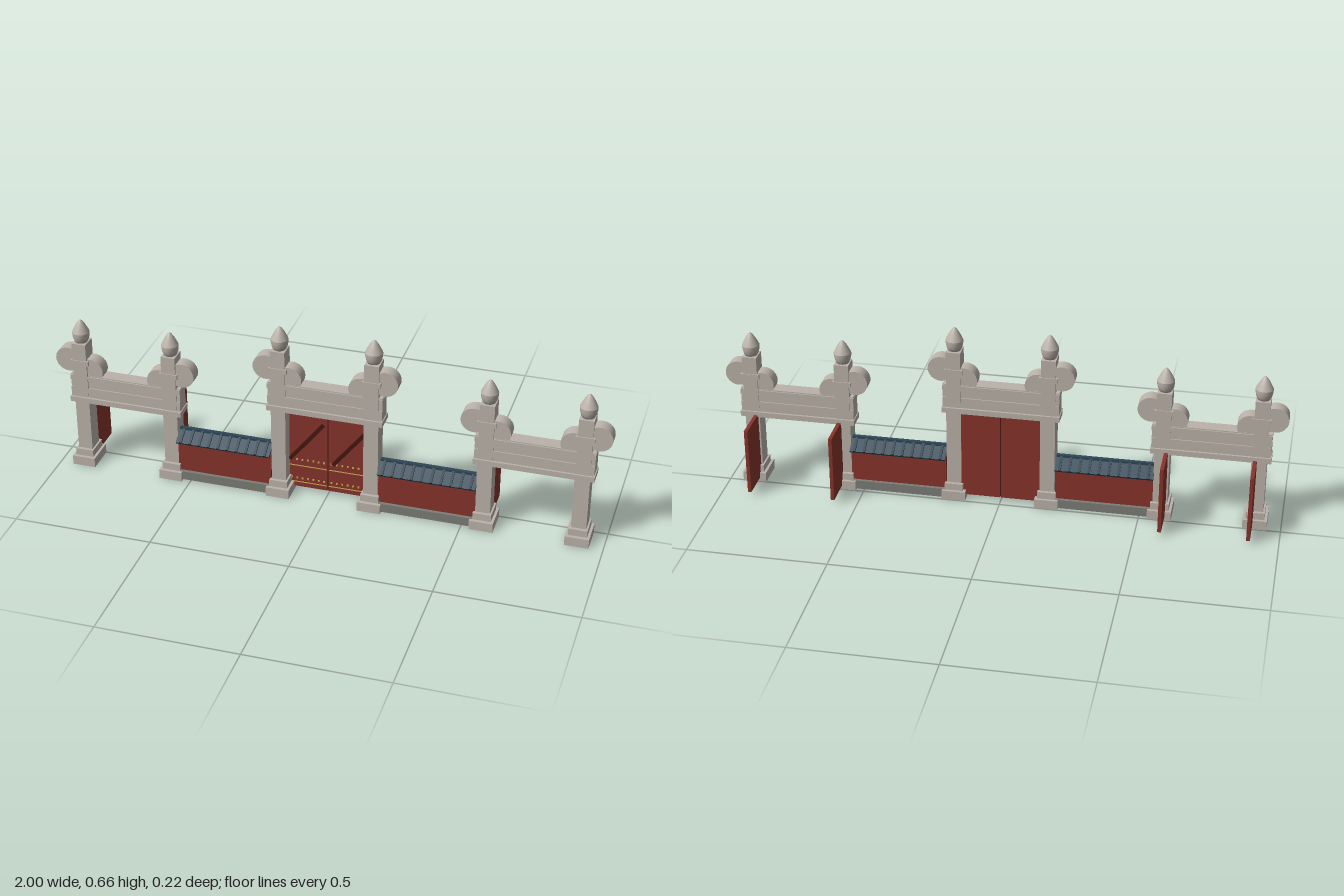
import * as THREE from 'three';

const mat = (name, color, opts = {}) => {
  const m = new THREE.MeshStandardMaterial({ color, ...opts });
  m.name = name;
  return m;
};

const Z = 0.053; // depth of the gate line

export function createModel() {
  const stone = mat('pale stone', 0xbbb3aa);
  const plinthStone = mat('dark stone', 0x7c7d76);
  const red = mat('red paint', 0x87332b);
  const darkWood = mat('dark wood', 0x451712);
  const gold = mat('gold', 0xc9a552);
  const tile = mat('blue roof tile', 0x2c4656);
  const tileDark = mat('dark roof tile', 0x1f3340);

  const add = (parent, name, geo, material, x, y, z) => {
    const m = new THREE.Mesh(geo, material);
    m.name = name;
    m.position.set(x, y, z);
    parent.add(m);
    return m;
  };
  // box given by centre x, y range, depth centre and size
  const box = (parent, name, material, x, y0, y1, w, d, z = Z) =>
    add(parent, name, new THREE.BoxGeometry(w, y1 - y0, d), material, x, (y0 + y1) / 2, z);
  const group = (parent, name, x = 0) => {
    const g = new THREE.Group();
    g.name = name;
    g.position.x = x;
    parent.add(g);
    return g;
  };

  const lathe = (pts) => new THREE.LatheGeometry(pts.map(p => new THREE.Vector2(...p)), 24);
  const bulb = lathe([[0, 0], [0.022, 0], [0.0275, 0.012], [0.0305, 0.026], [0.031, 0.038]]);
  const tip = lathe([[0.031, 0.038], [0.024, 0.053], [0.016, 0.068], [0.008, 0.08], [0, 0.087]]);
  const disc = new THREE.CylinderGeometry(0.046, 0.046, 0.048, 32).rotateX(Math.PI / 2);

  // One post with its crown; side is the outward x direction, top the lintel top
  const post = (parent, x, side, top) => {
    const g = group(parent, 'post', x);
    box(g, 'footing', stone, 0, 0, 0.035, 0.085, 0.108, 0.054);
    box(g, 'upperFooting', stone, 0, 0.035, 0.061, 0.066, 0.085);
    box(g, 'shaft', stone, 0, 0.061, top, 0.053, 0.061);
    box(g, 'crownColumn', stone, 0, top, top + 0.125, 0.052, 0.061);
    box(g, 'crownBand', stone, 0, top + 0.042, top + 0.06, 0.066, 0.067);
    add(g, 'outerScroll', disc, stone, side * 0.046, top + 0.056, Z);
    add(g, 'innerScroll', disc, stone, -side * 0.038, top + 0.02, Z);
    add(g, 'finialBulb', bulb, stone, 0, top + 0.125, Z);
    add(g, 'finialTip', tip, stone, 0, top + 0.125, Z);
  };

  // Two posts carrying a moulded lintel
  const gate = (parent, name, x, top) => {
    const g = group(parent, name, x);
    for (const s of [-1, 1]) post(g, s * 0.168, s, top);
    box(g, 'lintelLedge', stone, 0, top - 0.108, top - 0.088, 0.42, 0.074);
    box(g, 'lintelBeam', stone, 0, top - 0.088, top, 0.414, 0.05);
    box(g, 'lowerMoulding', stone, 0, top - 0.088, top - 0.05, 0.414, 0.058);
    box(g, 'upperMoulding', stone, 0, top - 0.022, top - 0.004, 0.416, 0.058);
    return g;
  };

  // Low wall with a tiled double-pitch roof
  const wall = (parent, x) => {
    const g = group(parent, 'lowWall', x);
    const w = 0.35;
    box(g, 'plinth', plinthStone, 0, 0.003, 0.036, w, 0.085);
    box(g, 'wallPanel', red, 0, 0.036, 0.158, w, 0.06);
    const gable = new THREE.Shape([[-0.03, 0.157], [0.03, 0.157], [0, 0.182]]
      .map(p => new THREE.Vector2(...p)));
    const core = new THREE.ExtrudeGeometry(gable, { depth: w - 0.02, bevelEnabled: false });
    core.translate(0, 0, -w / 2 + 0.01).rotateY(Math.PI / 2);
    add(g, 'roofCore', core, red, 0, 0, Z);
    const pitch = Math.atan2(0.034, 0.052);
    for (const s of [-1, 1]) {
      const slope = group(g, 'roofSlope');
      slope.position.set(0, 0.174, Z + s * 0.025);
      slope.rotation.x = s * pitch;
      add(slope, 'tileBed', new THREE.BoxGeometry(w, 0.008, 0.06), tile, 0, 0, 0);
      for (let i = 0; i < 10; i++) {
        const rx = -w / 2 + 0.018 + i * (w - 0.036) / 9;
        add(slope, 'tileRib', new THREE.BoxGeometry(0.009, 0.006, 0.061), tileDark, rx, 0.006, 0);
      }
    }
    box(g, 'roofRidge', tile, 0, 0.188, 0.199, w, 0.014);
  };

  const model = new THREE.Group();
  model.name = 'gateway';

  // Side gates with leaves swung open to the back
  for (const s of [-1, 1]) {
    const g = gate(model, 'sideGate', s * 0.74, 0.365);
    for (const e of [-1, 1])
      box(g, 'openDoor', red, e * 0.154, 0.016, 0.264, 0.013, 0.137, -0.039);
    wall(model, s * 0.372);
  }

  // Middle gate with closed doors
  const main = gate(model, 'middleGate', 0, 0.452);
  const front = 0.038;
  for (const s of [-1, 1]) {
    const d = group(main, 'closedDoor', s * 0.0735);
    box(d, 'doorLeaf', red, 0, 0.016, 0.35, 0.143, 0.014, front - 0.007);
    for (const y of [0.317, 0.102, 0.034])
      box(d, 'goldStrip', gold, 0, y, y + 0.003, 0.14, 0.002, front + 0.001);
    for (let i = 0; i < 7; i++)
      for (const y of [0.13, 0.052])
        box(d, 'goldStud', gold, -0.06 + i * 0.02, y - 0.003, y + 0.003, 0.006, 0.004, front + 0.002);
    const brace = add(d, 'diagonalBrace', new THREE.BoxGeometry(0.2, 0.014, 0.006), darkWood,
      s > 0 ? 0.008 : -0.004, 0.208, front + 0.004);
    brace.rotation.z = Math.atan2(0.155, 0.122);
  }
  box(main, 'doorSeam', darkWood, 0, 0.018, 0.348, 0.004, 0.01, front - 0.007);

  return model;
}
